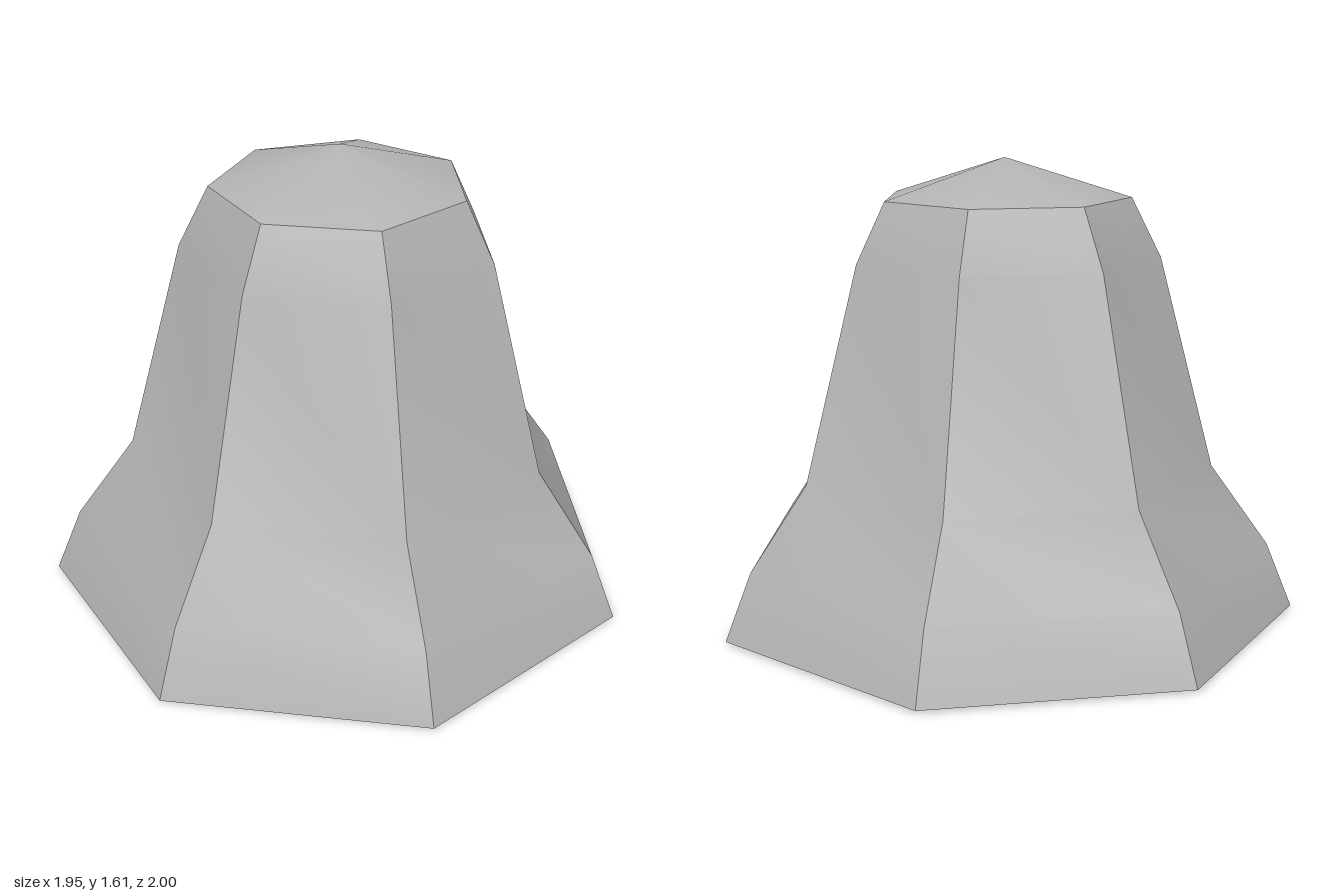
import * as THREE from 'three';
import { toCreasedNormals } from 'three/addons/utils/BufferGeometryUtils.js';

const SIDES = 7;
const CREASE = THREE.MathUtils.degToRad(35);

// Seven-sided turned surface from [radius, height] pairs, one corner pointing to -x
function turned(name, profile, material) {
  const points = profile.map(([r, y]) => new THREE.Vector2(r, y));
  const lathe = new THREE.LatheGeometry(points, SIDES, -Math.PI / 2);
  const mesh = new THREE.Mesh(toCreasedNormals(lathe, CREASE), material);
  mesh.name = name;
  return mesh;
}

export function createModel() {
  const grey = new THREE.MeshStandardMaterial({ color: 0xb4b4b4 });
  grey.name = 'plain grey';

  const bell = new THREE.Group();
  bell.name = 'bell';

  // Flared outer wall, smooth down each panel and sharp at the corners
  bell.add(turned('outerWall', [
    [1.025, 0.01], [0.933, 0.24], [0.73, 0.525], [0.538, 1.265], [0.436, 1.47],
  ], grey));

  // Shallow pointed crown
  bell.add(turned('crown', [[0.436, 1.47], [0, 1.605]], grey));

  // Thick lip, slightly lower at its inner edge
  bell.add(turned('lip', [[0.83, 0], [1.025, 0.01]], grey));

  // Hollow interior, listed downwards so it faces inwards
  bell.add(turned('innerWall', [
    [0, 1.35], [0.3, 1.25], [0.53, 0.36], [0.83, 0],
  ], grey));

  // The odd-sided outline has its axis off the middle of its bounds
  bell.position.x = 0.05;
  const model = new THREE.Group();
  model.name = 'bellModel';
  model.add(bell);
  return model;
}
